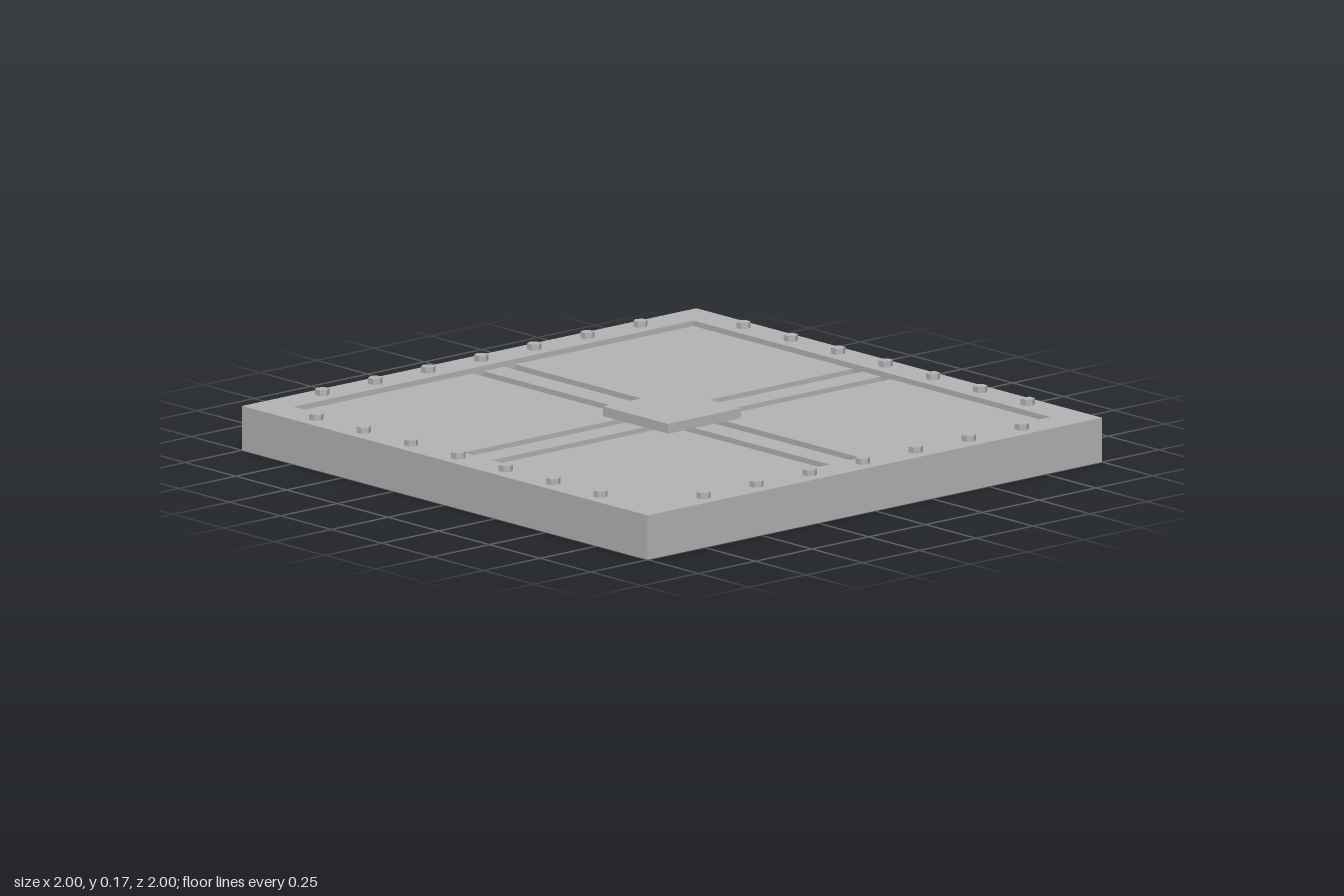
import * as THREE from 'three';

const TOP = 0.15;      // rim height
const PANEL = 0.132;   // sunken panel height
const FLOOR = 0.085;   // bottom of the grooves
const INNER = 0.88;    // half width of the rim opening

export function createModel() {
  const model = new THREE.Group();
  model.name = 'floorHatch';
  const steel = new THREE.MeshStandardMaterial({ color: 0xb4b4b4, flatShading: true });
  steel.name = 'grey steel';

  const add = (name, geometry, x = 0, y = 0, z = 0) => {
    const mesh = new THREE.Mesh(geometry, steel);
    mesh.name = name;
    mesh.position.set(x, y, z);
    model.add(mesh);
    return mesh;
  };

  // box given by its extents
  const block = (name, x0, x1, y0, y1, z0, z1) =>
    add(name, new THREE.BoxGeometry(x1 - x0, y1 - y0, z1 - z0),
      (x0 + x1) / 2, (y0 + y1) / 2, (z0 + z1) / 2);

  const square = (PathType, h) => {
    const path = new PathType();
    path.moveTo(-h, -h);
    path.lineTo(h, -h);
    path.lineTo(h, h);
    path.lineTo(-h, h);
    path.closePath();
    return path;
  };

  // base slab and raised rim
  block('baseSlab', -1, 1, 0, FLOOR, -1, 1);
  const rim = square(THREE.Shape, 1);
  rim.holes.push(square(THREE.Path, INNER));
  const rimGeometry = new THREE.ExtrudeGeometry(rim, { depth: TOP - FLOOR, bevelEnabled: false });
  rimGeometry.rotateX(-Math.PI / 2);
  add('rim', rimGeometry, 0, FLOOR, 0);

  // sunken panels, parted by two pairs of crossing grooves
  const spans = [[-INNER, -0.095], [-0.046, 0.044], [0.092, INNER]];
  for (const [x0, x1] of spans) {
    for (const [z0, z1] of spans) block('panel', x0, x1, FLOOR, PANEL, z0, z1);
  }

  // square cover plate in the middle
  block('coverPlate', -0.16, 0.16, PANEL, 0.165, -0.16, 0.16);

  // seven hexagonal bolts along each side of the rim
  const bolt = new THREE.CylinderGeometry(0.024, 0.024, 0.02, 6);
  bolt.rotateY(Math.PI / 2);
  for (let i = -3; i <= 3; i++) {
    const along = i * 0.2335;
    for (const side of [-0.94, 0.94]) {
      add('bolt', bolt, along, TOP + 0.01, side);
      add('bolt', bolt, side, TOP + 0.01, along);
    }
  }
  return model;
}
